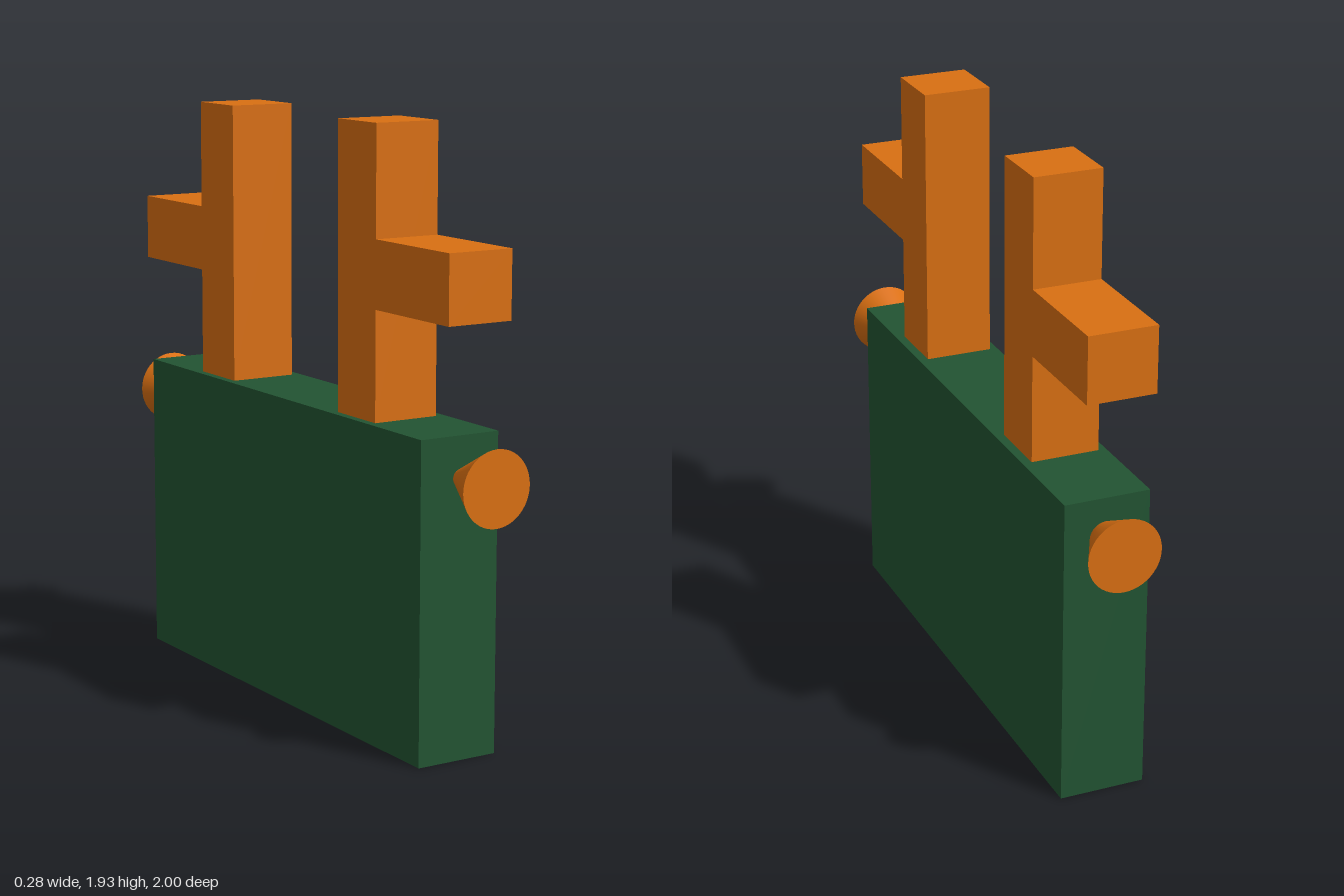
import * as THREE from 'three';

export function createModel() {
  const model = new THREE.Group();
  const green = new THREE.MeshStandardMaterial({ color: 0x225432 });
  const orange = new THREE.MeshStandardMaterial({ color: 0xd96f12 });

  const add = (name, geometry, material, x, y, z) => {
    const mesh = new THREE.Mesh(geometry, material);
    mesh.name = name;
    mesh.position.set(x, y, z);
    model.add(mesh);
    return mesh;
  };

  // Tall slab body
  add('body', new THREE.BoxGeometry(0.28, 1.015, 1.68), green, 0, 0.5075, -0.025);

  const width = 0.224, thick = 0.215, midZ = -0.015;
  for (const [end, side] of [['front', 1], ['back', -1]]) {
    // Antler: an upright post with a branch pointing outward
    add(end + 'AntlerPost', new THREE.BoxGeometry(width, 0.915, thick), orange,
      -0.002, 1.4725, midZ + side * 0.4325);
    add(end + 'AntlerBranch', new THREE.BoxGeometry(width, thick, 0.39), orange,
      -0.002, 1.4725, midZ + side * 0.735);

    // Cone ear: wide end outward, tip buried in the body
    const ear = add(end + 'Ear', new THREE.ConeGeometry(0.12, 0.24, 48), orange,
      0.004, 0.885, side * 0.88);
    ear.rotation.x = -side * Math.PI / 2;
  }
  return model;
}
